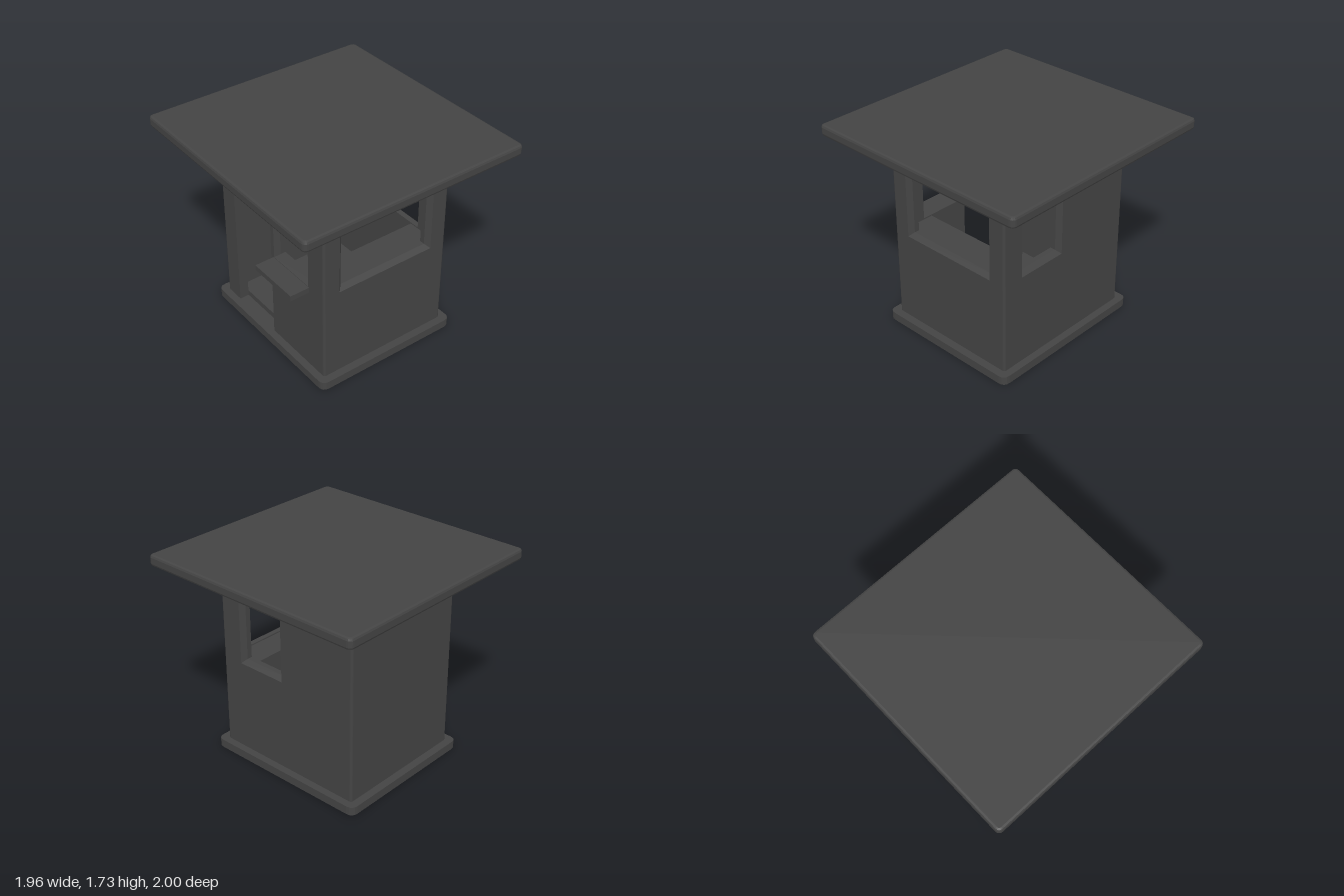
import * as THREE from 'three';

const charcoal = new THREE.MeshStandardMaterial({ color: 0x444444 });
charcoal.name = 'charcoal';

const HALF_X = 0.58, HALF_Z = 0.665;     // outer faces of the walls
const WALL_BOTTOM = 0.03, WALL_TOP = 1.66, THICK = 0.08, CORNER = 0.02;

function mesh(name, geometry, parent) {
  const m = new THREE.Mesh(geometry, charcoal);
  m.name = name;
  parent.add(m);
  return m;
}

function box(name, x0, x1, y0, y1, z0, z1, parent) {
  const m = mesh(name, new THREE.BoxGeometry(x1 - x0, y1 - y0, z1 - z0), parent);
  m.position.set((x0 + x1) / 2, (y0 + y1) / 2, (z0 + z1) / 2);
  return m;
}

// Horizontal slab with rounded corners and optional chamfered rims
function slab(name, hx, hz, y0, y1, radius, bevel, parent) {
  const x = hx - bevel, z = hz - bevel, r = radius;
  const s = new THREE.Shape();
  s.moveTo(-x + r, -z);
  s.lineTo(x - r, -z);
  s.quadraticCurveTo(x, -z, x, -z + r);
  s.lineTo(x, z - r);
  s.quadraticCurveTo(x, z, x - r, z);
  s.lineTo(-x + r, z);
  s.quadraticCurveTo(-x, z, -x, z - r);
  s.lineTo(-x, -z + r);
  s.quadraticCurveTo(-x, -z, -x + r, -z);
  const g = new THREE.ExtrudeGeometry(s, {
    depth: y1 - y0 - 2 * bevel, curveSegments: 4, bevelEnabled: bevel > 0,
    bevelSize: bevel, bevelThickness: bevel, bevelSegments: 2,
  });
  g.rotateX(-Math.PI / 2);
  g.translate(0, y0 + bevel, 0);
  return mesh(name, g, parent);
}

// Corners of an opening, counter-clockwise, grown outwards by an amount
function corners({ x0, x1, y0, y1 }, grow) {
  return [[x0 - grow, y0 - grow], [x1 + grow, y0 - grow], [x1 + grow, y1 + grow], [x0 - grow, y1 + grow]];
}

// Faces lining an opening: a splayed outer edge, then a straight passage
function revealGeometry(o) {
  const rings = [[o.bevel, 0], [0, -o.bevel], [0, -THICK]];
  const pos = [];
  for (let k = 0; k < 2; k++) {
    const [near, far] = [rings[k], rings[k + 1]].map(([grow, z]) => corners(o, grow).map(p => [...p, z]));
    for (let i = 0; i < 4; i++) {
      const j = (i + 1) % 4;
      pos.push(...near[i], ...near[j], ...far[j], ...near[i], ...far[j], ...far[i]);
    }
  }
  const g = new THREE.BufferGeometry();
  g.setAttribute('position', new THREE.Float32BufferAttribute(pos, 3));
  g.computeVertexNormals();
  return g;
}

// Wall panel whose outer face lies at local z = 0
function wall(name, half, openings, parent) {
  const group = new THREE.Group();
  group.name = name;
  const face = outer => {
    const w = half - CORNER;
    const s = new THREE.Shape([[-w, WALL_BOTTOM], [w, WALL_BOTTOM], [w, WALL_TOP], [-w, WALL_TOP]]
      .map(p => new THREE.Vector2(...p)));
    for (const o of openings) {
      const pts = corners(o, outer ? o.bevel : 0).reverse().map(p => new THREE.Vector2(...p));
      s.holes.push(new THREE.Path(pts));
    }
    return new THREE.ShapeGeometry(s);
  };
  mesh('outerFace', face(true), group);
  const inner = face(false);
  const idx = inner.index.array;
  for (let i = 0; i < idx.length; i += 3) [idx[i], idx[i + 1]] = [idx[i + 1], idx[i]];
  inner.computeVertexNormals();
  inner.translate(0, 0, -THICK);
  mesh('innerFace', inner, group);
  for (const o of openings) mesh(o.name, revealGeometry(o), group);
  parent.add(group);
  return group;
}

export function createModel() {
  const booth = new THREE.Group();
  booth.name = 'booth';

  // Base, raised floor and roof
  slab('base', 0.64, 0.73, 0, 0.07, 0.06, 0, booth);
  box('floor', -0.5, 0.5, 0.06, 0.12, -0.585, 0.585, booth);
  slab('roof', 0.98, 1, 1.64, 1.73, 0.02, 0.02, booth);

  // Walls with their openings
  const win = (x0, x1) => ({ name: 'windowReveal', x0, x1, y0: 0.87, y1: 1.475, bevel: 0.036 });
  const door = { name: 'doorReveal', x0: -0.49, x1: 0, y0: 0.065, y1: 1.475, bevel: 0 };

  wall('frontWall', HALF_X, [win(-0.4, 0.4)], booth).position.z = HALF_Z;

  const back = wall('backWall', HALF_X, [], booth);
  back.rotation.y = Math.PI;
  back.position.z = -HALF_Z;

  const left = wall('leftWall', HALF_Z, [win(-0.44, -0.075)], booth);
  left.rotation.y = Math.PI / 2;
  left.position.x = HALF_X;

  const right = wall('rightWall', HALF_Z, [door, win(0.075, 0.44)], booth);
  right.rotation.y = -Math.PI / 2;
  right.position.x = -HALF_X;

  // Rounded corner posts joining the walls
  for (const sx of [-1, 1]) for (const sz of [-1, 1]) {
    const post = mesh('cornerPost', new THREE.CylinderGeometry(CORNER, CORNER, WALL_TOP - WALL_BOTTOM, 16), booth);
    post.position.set(sx * (HALF_X - CORNER), (WALL_TOP + WALL_BOTTOM) / 2, sz * (HALF_Z - CORNER));
  }

  // Serving shelf outside the side window and desk under the front window
  box('servingShelf', -0.745, -0.56, 0.785, 0.83, 0.03, 0.485, booth);
  box('desk', -0.5, 0.5, 0.82, 0.86, 0.36, 0.59, booth);

  return booth;
}
